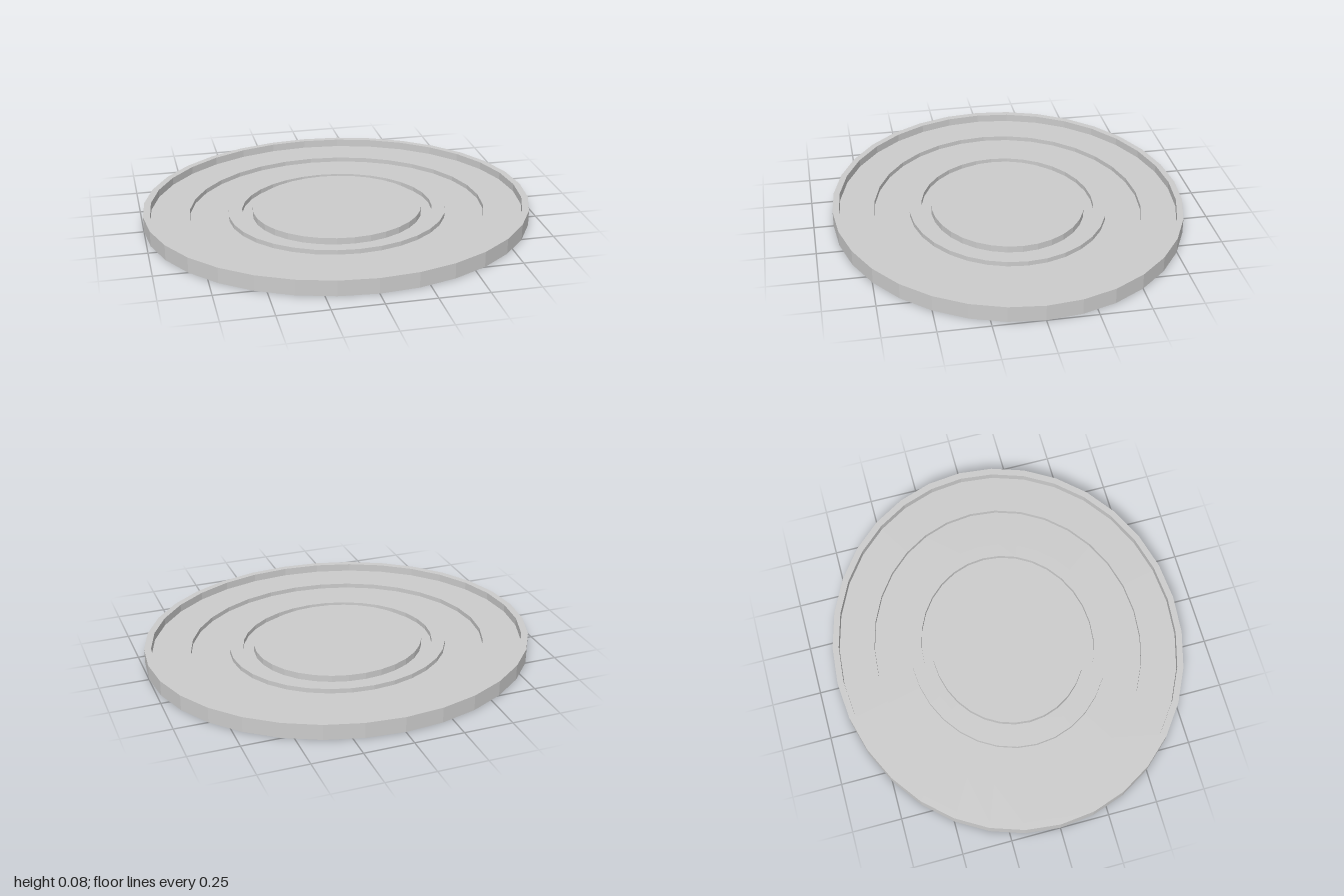
import * as THREE from 'three';

const SIDES = 32;
const DEPTH = 0.9; // the disc is a slightly flattened ellipse

export function createModel() {
  const group = new THREE.Group();
  const material = new THREE.MeshStandardMaterial({ color: 0xcccccc, flatShading: true });

  // Turn a [radius, height] profile and squash it along z
  const addPart = (name, profile) => {
    const points = profile.map(([r, y]) => new THREE.Vector2(r, y));
    const geometry = new THREE.LatheGeometry(points, SIDES).scale(1, 1, DEPTH);
    geometry.computeVertexNormals();
    const mesh = new THREE.Mesh(geometry, material);
    mesh.name = name;
    group.add(mesh);
  };

  const top = 0.08, ledge = 0.04, floor = 0.016, plateau = 0.05;

  // Underside, outer wall, raised lip and the two steps down inside it
  addPart('steppedTray', [
    [0, 0], [1, 0], [1, top], [0.965, top], [0.965, ledge],
    [0.765, ledge], [0.765, floor], [0.565, floor],
  ]);

  // Narrow ring standing on the floor, and the groove inside it
  addPart('raisedRing', [
    [0.565, floor], [0.565, ledge], [0.495, ledge], [0.495, floor], [0.44, floor],
  ]);

  // Flat raised centre
  addPart('centrePlateau', [[0.44, floor], [0.44, plateau], [0, plateau]]);

  return group;
}
